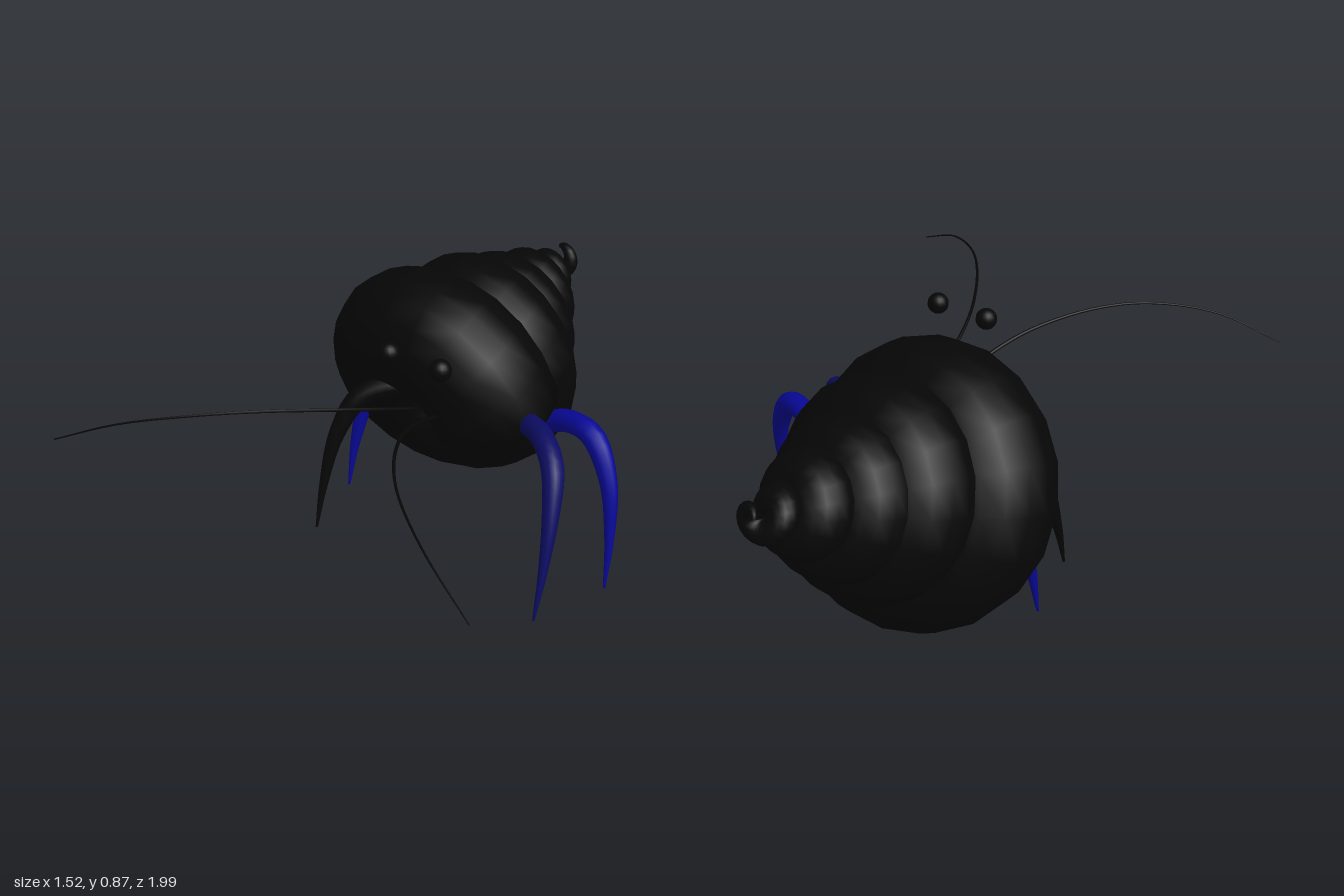
import * as THREE from 'three';

function flatColor(name, hex) {
  const m = new THREE.MeshStandardMaterial({ color: hex });
  m.name = name;
  return m;
}
const black = flatColor('black', 0x060606);
const darkBlue = flatColor('darkBlue', 0x0c0c62);
const blue = flatColor('blue', 0x080896);

// Skin a list of rings { c, n, b, r }, where n x b points along the path
function skin(rings, sides) {
  const pos = [], idx = [];
  for (const { c, n, b, r } of rings) {
    for (let j = 0; j < sides; j++) {
      const a = (j / sides) * Math.PI * 2;
      const p = c.clone().addScaledVector(n, r * Math.cos(a)).addScaledVector(b, r * Math.sin(a));
      pos.push(p.x, p.y, p.z);
    }
  }
  for (let i = 0; i < rings.length - 1; i++) {
    for (let j = 0; j < sides; j++) {
      const k = (j + 1) % sides;
      const p = i * sides + j, q = i * sides + k;
      idx.push(p, q, p + sides, q, q + sides, p + sides);
    }
  }
  const g = new THREE.BufferGeometry();
  g.setAttribute('position', new THREE.Float32BufferAttribute(pos, 3));
  g.setIndex(idx);
  g.computeVertexNormals();
  return g;
}

// Close both ends of a ring list with a point
const closed = (rings) => [{ ...rings[0], r: 0 }, ...rings, { ...rings[rings.length - 1], r: 0 }];

// Tapered tube through a few points
function taperedTube(points, radiusAt, steps, sides) {
  const curve = new THREE.CatmullRomCurve3(points.map((p) => new THREE.Vector3(...p)));
  const { normals, binormals } = curve.computeFrenetFrames(steps);
  const rings = normals.map((n, i) => ({
    c: curve.getPointAt(i / steps), n, b: binormals[i], r: radiusAt(i / steps),
  }));
  return skin(closed(rings), sides);
}

function add(parent, name, geometry, material) {
  const mesh = new THREE.Mesh(geometry, material);
  mesh.name = name;
  parent.add(mesh);
  return mesh;
}

// Coiled shell: [distance from apex, coil radius, tube radius] every half turn back from the mouth
function addShell(model) {
  const profile = new THREE.CatmullRomCurve3([
    [0.86, 0.24, 0.22], [0.765, 0.245, 0.215], [0.635, 0.188, 0.195], [0.535, 0.168, 0.175],
    [0.455, 0.123, 0.15], [0.385, 0.115, 0.135], [0.305, 0.078, 0.11], [0.235, 0.063, 0.1],
    [0.175, 0.032, 0.07], [0.11, 0.04, 0.046], [0.055, 0.035, 0.028], [0.005, 0.03, 0.004],
  ].map((p) => new THREE.Vector3(...p)));
  const rings = [], start = 0.025, end = 5.42, steps = 108;
  for (let i = 0; i <= steps; i++) {
    const k = start + ((end - start) * i) / steps;
    const { x: s, y: coil, z: r } = profile.getPoint(k / 5.5);
    const a = k * Math.PI * 2;
    const n = new THREE.Vector3(Math.cos(a), Math.sin(a), 0);
    const c = n.clone().multiplyScalar(coil).setZ(s);
    rings.push({ c, n, b: new THREE.Vector3(0, 0, -1), r });
  }
  const shell = add(model, 'shell', skin(closed(rings), 18), black);
  shell.position.set(-0.22, 0.675, -1);
  shell.rotation.x = 0.318;
}

export function createModel() {
  const model = new THREE.Group();
  model.name = 'hermitCrab';
  addShell(model);

  const legRadius = (t) => (t < 0.35 ? 0.038 : 0.038 - 0.034 * ((t - 0.35) / 0.65));
  const antennaRadius = (t) => 0.007 - 0.005 * t;
  const frontLeg = [[0.19, 0.475, -0.11], [0.29, 0.493, -0.04], [0.385, 0.45, 0.04], [0.43, 0.33, 0.112], [0.447, 0.15, 0.175], [0.448, 0, 0.22]];
  const rearLeg = [[0.19, 0.425, -0.225], [0.29, 0.475, -0.2], [0.405, 0.472, -0.165], [0.49, 0.35, -0.13], [0.525, 0.18, -0.095], [0.537, 0, -0.06]];
  const antenna = [[0.042, 0.58, 0.18], [0.08, 0.635, 0.335], [0.13, 0.673, 0.46], [0.24, 0.711, 0.635], [0.37, 0.72, 0.78], [0.56, 0.69, 0.915], [0.76, 0.61, 1]];

  for (const side of [1, -1]) {
    const isLeft = side > 0;
    const label = isLeft ? 'left' : 'right';
    const mirror = (pts) => pts.map(([x, y, z]) => [side * x, y, z]);

    // Legs; the right rear one starts deeper inside the shell
    add(model, label + 'FrontLeg', taperedTube(mirror(frontLeg), legRadius, 24, 12), isLeft ? darkBlue : black);
    add(model, label + 'RearLeg', taperedTube(mirror(isLeft ? rearLeg : rearLeg.slice(1)), legRadius, 24, 12), blue);

    // Antenna
    add(model, label + 'Antenna', taperedTube(mirror(antenna), antennaRadius, 32, 8), black);

    // Eye
    add(model, label + 'Eye', new THREE.SphereGeometry(0.035, 16, 12), black)
      .position.set(side * 0.098, 0.78, 0.23);
  }
  return model;
}
